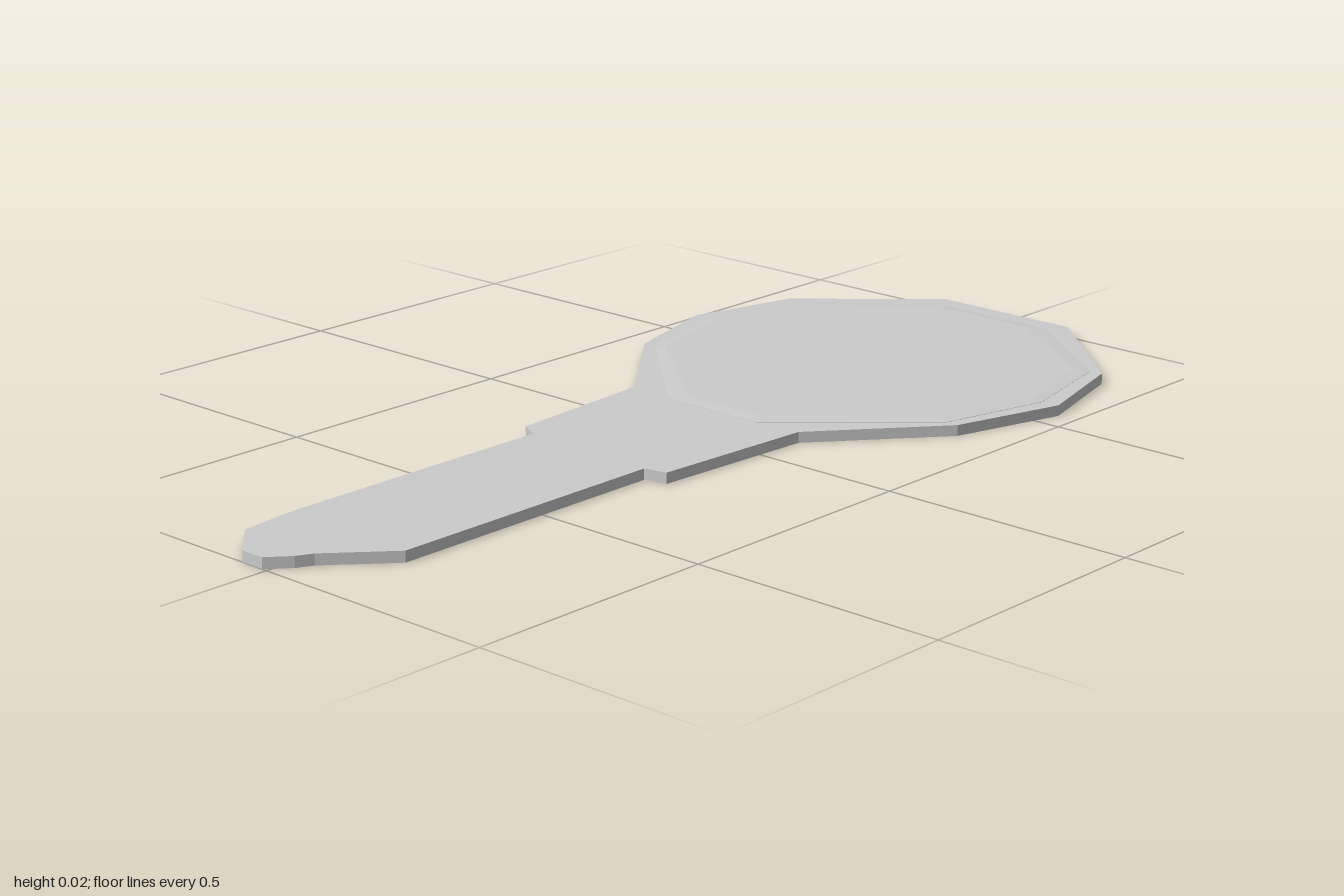
import * as THREE from 'three';
import { ConvexGeometry } from 'three/addons/geometries/ConvexGeometry.js';

const HEIGHT = 0.021, DEPTH = 0.006, PAD_TOP = 0.024;

// Plan points are [x, z]
const OUTLINE = [
  [-0.16, -1], [0.16, -1], [0.4, -0.78], [0.46, -0.555], [0.395, -0.33], [0.205, -0.1],
  [0.185, 0.235], [0.14, 0.245], [0.14, 0.82], [0.04, 0.93], [0.025, 0.96], [-0.01, 1],
  [-0.06, 1], [-0.135, 0.93], [-0.147, 0.81], [-0.147, 0.235], [-0.187, 0.215],
  [-0.21, -0.1], [-0.397, -0.33], [-0.46, -0.555], [-0.402, -0.78],
];
const GROOVES = [
  [[-0.11, -0.07], [-0.015, -0.07], [-0.035, 0.85], [-0.075, 0.95], [-0.1, 0.85]],
  [[0.018, -0.05], [0.11, -0.05], [0.11, 0.8], [-0.01, 0.95], [0.04, 0.83]],
];

const toPoints = (list) => list.map(([x, z]) => new THREE.Vector2(x, -z));

// Flat slab of the key outline, lying between two heights
function slab(y0, y1, holes = []) {
  const shape = new THREE.Shape(toPoints(OUTLINE));
  shape.holes = holes.map((h) => new THREE.Path(toPoints(h)));
  const geo = new THREE.ExtrudeGeometry(shape, { depth: y1 - y0, bevelEnabled: false });
  return geo.rotateX(-Math.PI / 2).translate(0, y0, 0);
}

// Mirrored ten-sided ring for the raised pad
function padRing(half, y) {
  return half.flatMap(([x, z]) => [new THREE.Vector3(x, y, z), new THREE.Vector3(-x, y, z)]);
}

export function createModel() {
  const key = new THREE.Group();
  key.name = 'key';
  const material = new THREE.MeshStandardMaterial({ color: 0xcccccc, flatShading: true });
  const add = (name, geo) => {
    const mesh = new THREE.Mesh(geo, material);
    mesh.name = name;
    key.add(mesh);
  };

  // Solid middle, with grooved layers above and below
  add('keyCore', slab(DEPTH, HEIGHT - DEPTH));
  add('groovedTopLayer', slab(HEIGHT - DEPTH, HEIGHT, GROOVES));
  add('groovedBottomLayer', slab(0, DEPTH, GROOVES));

  // Slightly raised, bevelled pad on the head
  const outer = [[0.13, -0.96], [0.375, -0.775], [0.425, -0.55], [0.37, -0.33], [0.11, -0.09]];
  const inner = [[0.1, -0.935], [0.345, -0.76], [0.405, -0.55], [0.345, -0.335], [0.085, -0.12]];
  add('headPad', new ConvexGeometry([...padRing(outer, HEIGHT - 0.002), ...padRing(outer, HEIGHT + 0.0005), ...padRing(inner, PAD_TOP)]));

  return key;
}
